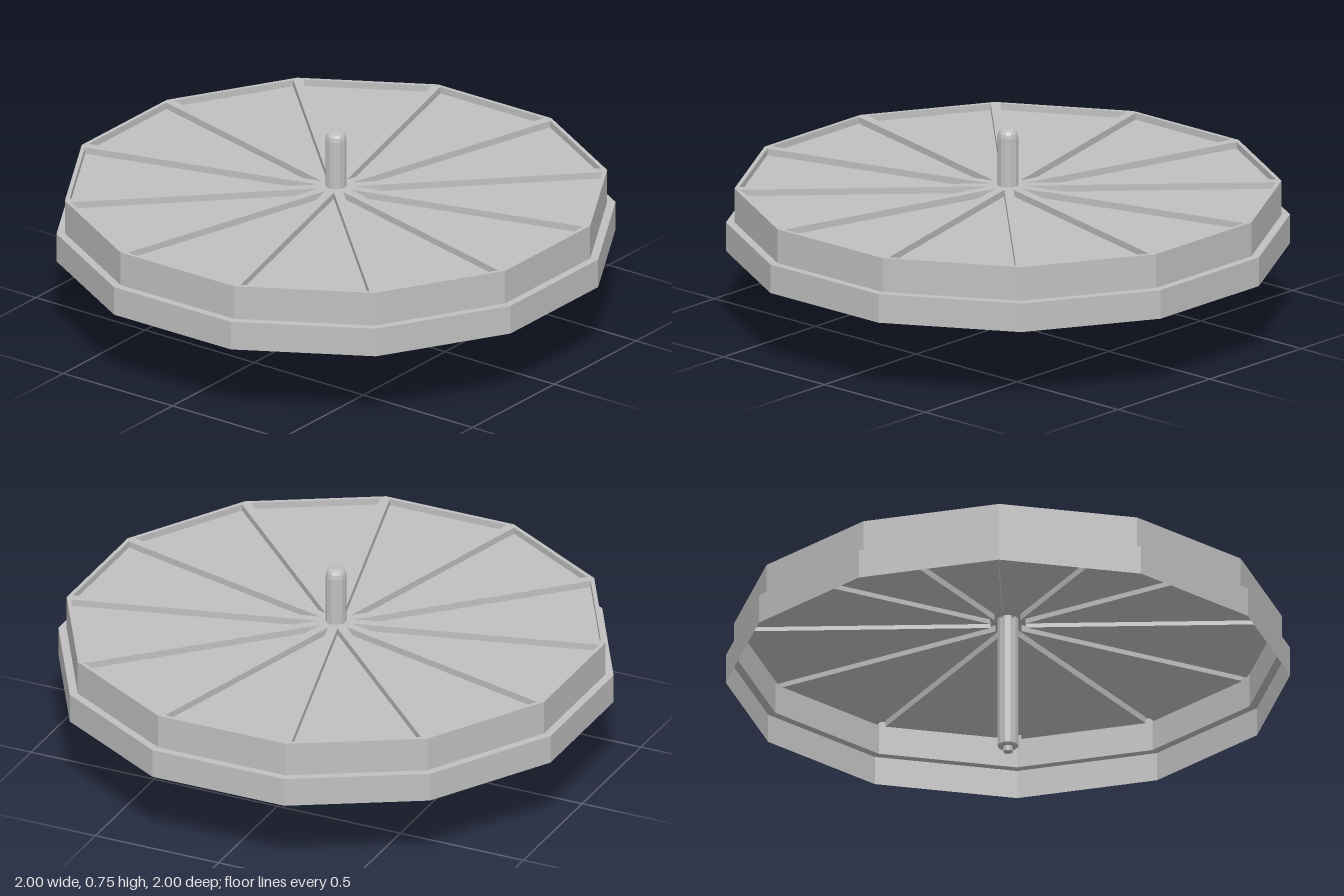
import * as THREE from 'three';

const SIDES = 12;
const STEP = (Math.PI * 2) / SIDES;
const TOP = 0.535;        // height of the frame
const PANEL = 0.51;       // height of the sunken panels
const HALF_SPOKE = 0.0175;
const corner = (apothem) => apothem / Math.cos(STEP / 2);

// Faceted solid of revolution from [radius, height] pairs
function turned(points, phi = 0) {
  return new THREE.LatheGeometry(points.map(([r, y]) => new THREE.Vector2(r, y)), SIDES, phi);
}

// Triangle of one panel, as [x, z] corners, turned to sector i
function panelCorners(i) {
  const edge = 0.955;
  const half = edge * Math.tan(STEP / 2) - HALF_SPOKE / Math.cos(STEP / 2);
  const apex = HALF_SPOKE / Math.sin(STEP / 2);
  const c = Math.cos(i * STEP), s = Math.sin(i * STEP);
  return [[0, apex], [half, edge], [-half, edge]].map(([x, z]) => [x * c + z * s, z * c - x * s]);
}

// Sunken floor and its three side walls
function panelGeometry(i) {
  const p = panelCorners(i);
  const v = [];
  const put = ([x, z], y) => v.push(x, y, z);
  put(p[0], PANEL); put(p[2], PANEL); put(p[1], PANEL);
  for (let k = 0; k < 3; k++) {
    const a = p[k], b = p[(k + 1) % 3];
    put(a, PANEL); put(b, PANEL); put(b, TOP);
    put(a, PANEL); put(b, TOP); put(a, TOP);
  }
  // Floor winding faces up
  if ((p[2][1] - p[0][1]) * (p[1][0] - p[0][0]) - (p[2][0] - p[0][0]) * (p[1][1] - p[0][1]) < 0) {
    v.splice(3, 6, p[1][0], PANEL, p[1][1], p[2][0], PANEL, p[2][1]);
  }
  const g = new THREE.BufferGeometry();
  g.setAttribute('position', new THREE.Float32BufferAttribute(v, 3));
  g.computeVertexNormals();
  return g;
}

export function createModel() {
  const model = new THREE.Group();
  const grey = new THREE.MeshStandardMaterial({ color: 0xc0c0c0, flatShading: true, side: THREE.DoubleSide });
  grey.name = 'grey';

  const add = (name, geometry, parent = model) => {
    const mesh = new THREE.Mesh(geometry, grey);
    mesh.name = name;
    parent.add(mesh);
    return mesh;
  };

  // Thin stepped rim, open below
  add('rim', turned([
    [corner(1), 0.295], [corner(1), 0.405], [corner(0.97), 0.405], [corner(0.97), TOP],
  ], STEP / 2));

  // Flat frame of spokes with triangular openings
  const outline = new THREE.Shape();
  for (let i = 0; i < SIDES; i++) {
    const a = (i + 0.5) * STEP, r = corner(0.97);
    outline[i ? 'lineTo' : 'moveTo'](r * Math.cos(a), r * Math.sin(a));
  }
  outline.closePath();
  for (let i = 0; i < SIDES; i++) {
    outline.holes.push(new THREE.Path(panelCorners(i).map(([x, z]) => new THREE.Vector2(x, -z))));
  }
  const frame = new THREE.ShapeGeometry(outline);
  frame.rotateX(-Math.PI / 2);
  frame.translate(0, TOP, 0);
  add('spokeFrame', frame);

  // Sunken panels between the spokes
  const panels = new THREE.Group();
  panels.name = 'panels';
  model.add(panels);
  for (let i = 0; i < SIDES; i++) add('panel', panelGeometry(i), panels);

  // Central axle with a rounded top and a small foot pin
  add('axle', turned([
    [0, 0], [0.018, 0], [0.018, 0.02], [0.035, 0.02], [0.039, 0.024],
    [0.039, 0.72], [0.036, 0.735], [0.03, 0.745], [0.018, 0.75], [0, 0.75],
  ]));

  return model;
}
